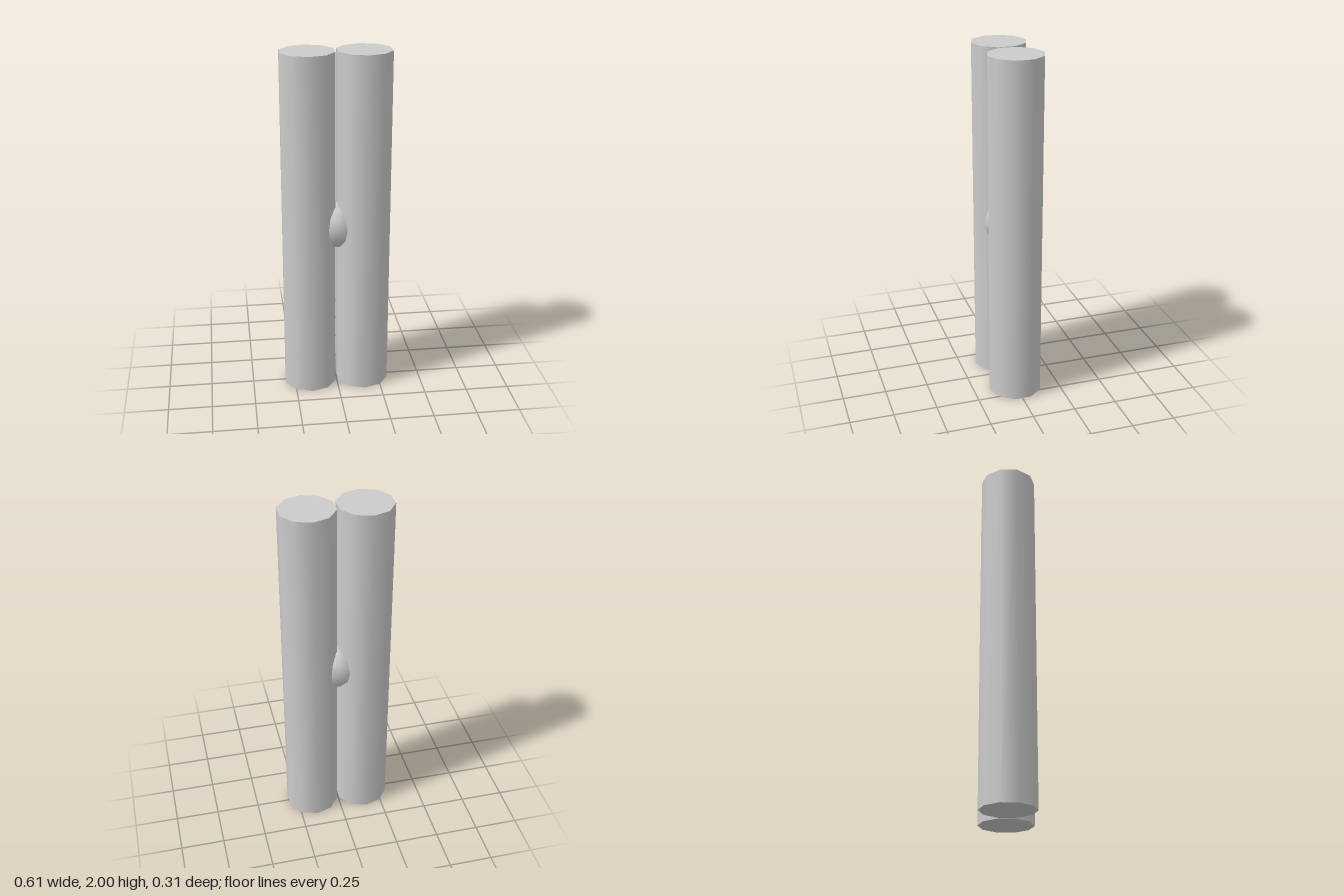
import * as THREE from 'three';

export function createModel() {
  const model = new THREE.Group();
  const material = new THREE.MeshStandardMaterial({ color: 0xcccccc });
  const radius = 0.156;

  // Two upright ten-sided rods, side by side
  const rodGeometry = new THREE.CylinderGeometry(radius, radius, 2, 10);
  for (const [name, side] of [['leftRod', 1], ['rightRod', -1]]) {
    const rod = new THREE.Mesh(rodGeometry, material);
    rod.name = name;
    rod.position.set(side * radius, 1, 0);
    model.add(rod);
  }

  // Small ball joining the rods at mid height
  const ball = new THREE.Mesh(new THREE.SphereGeometry(0.133, 8, 6), material);
  ball.name = 'middleBall';
  ball.position.y = 1;
  model.add(ball);

  return model;
}
